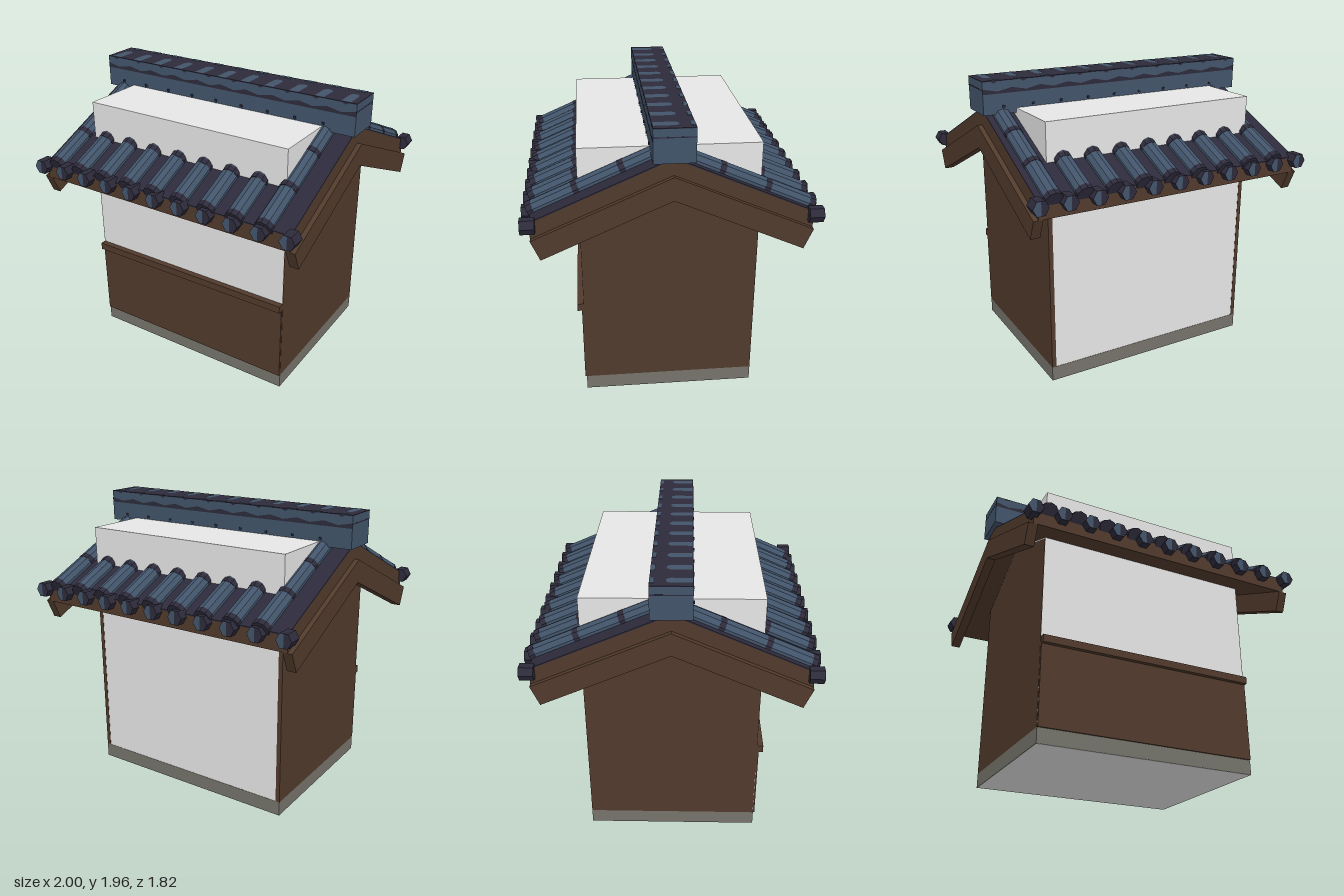
import * as THREE from 'three';

const mat = (name, color) => {
  const m = new THREE.MeshStandardMaterial({ color });
  m.name = name;
  return m;
};

export function createModel() {
  const model = new THREE.Group();
  const plaster = mat('pale plaster', 0xe6e6e6);
  const stone = mat('grey stone', 0x75736a);
  const wood = mat('dark wood', 0x513a2c);
  const slate = mat('blue slate', 0x42546a);
  const shade = mat('dark slate', 0x2d2b3b);

  const add = (parent, name, geo, material, x = 0, y = 0, z = 0) => {
    const mesh = new THREE.Mesh(geo, material);
    mesh.name = name;
    mesh.position.set(x, y, z);
    parent.add(mesh);
    return mesh;
  };
  const box = (parent, name, material, x0, x1, y0, y1, z0, z1) =>
    add(parent, name, new THREE.BoxGeometry(x1 - x0, y1 - y0, z1 - z0), material,
      (x0 + x1) / 2, (y0 + y1) / 2, (z0 + z1) / 2);
  // Flat outline of [x, y] points facing +z
  const plate = points => new THREE.ShapeGeometry(new THREE.Shape(points.map(p => new THREE.Vector2(...p))));
  // Extrude a [z, y] outline along x, from x0 to x1
  const slab = (parent, name, material, outline, x0, x1) => {
    const shape = new THREE.Shape(outline.map(([z, y]) => new THREE.Vector2(-z, y)));
    const geo = new THREE.ExtrudeGeometry(shape, { depth: x1 - x0, bevelEnabled: false });
    return add(parent, name, geo.rotateY(Math.PI / 2), material, x0);
  };

  // Solid core on a stone footing
  box(model, 'core', plaster, -0.755, 0.755, 0, 1.77, -0.565, 0.565);
  box(model, 'footing', stone, -0.757, 0.757, 0.001, 0.1, -0.567, 0.567);

  // Wooden side walls, their thin ends showing at the back corners
  const gable = [[-0.567, 0.1], [0.564, 0.1], [0.564, 1.4], [0, 1.64], [-0.567, 1.4]];
  slab(model, 'leftWall', wood, gable, 0.728, 0.757);
  slab(model, 'rightWall', wood, gable, -0.757, -0.728);

  // Front counter
  box(model, 'counterPanel', wood, -0.755, 0.755, 0.1, 0.635, 0.56, 0.577);
  box(model, 'counterRail', wood, -0.755, 0.755, 0.635, 0.685, 0.56, 0.605);

  // Bargeboards at both gable ends
  const barge = [[0, 1.655], [0.855, 1.28], [0.8, 1.15], [0, 1.505], [-0.8, 1.15], [-0.855, 1.28]];
  slab(model, 'leftBargeboard', wood, barge, 0.915, 0.977);
  slab(model, 'rightBargeboard', wood, barge, -0.977, -0.915);

  // One roof slope, turned round for the back
  const slope = 0.439, angle = Math.atan(slope);
  const deckY = z => 1.765 - slope * z;
  const tube = (parent, name, material, x, z0, z1, r0, r1) => {
    const geo = new THREE.CylinderGeometry(r1, r0, (z1 - z0) / Math.cos(angle), 10).toNonIndexed();
    geo.computeVertexNormals();
    const zm = (z0 + z1) / 2;
    add(parent, name, geo, material, x, deckY(zm), zm).rotation.x = Math.PI / 2 + angle;
  };
  const hexGeo = new THREE.CylinderGeometry(0.052, 0.052, 0.09, 6, 1, false, Math.PI / 2).toNonIndexed();
  hexGeo.computeVertexNormals();
  hexGeo.rotateX(Math.PI / 2);
  const halfHexGeo = plate([[0, 0.045], [-0.026, 0.045], [-0.052, 0], [-0.026, -0.045], [0, -0.045]]);
  const notchGeo = plate([[-0.03, 1.954], [0, 1.938], [0.03, 1.954]]);
  // Dark scalloped band along the ridge
  const wave = [[-0.975, 1.872], [0.975, 1.872]];
  for (let i = 0; i <= 20; i++) wave.push([0.975 - i * 0.0975, i % 2 ? 1.886 : 1.906]);
  const bandGeo = plate(wave);

  const makeSlope = name => {
    const side = new THREE.Group();
    side.name = name;
    slab(side, 'deck', wood, [[0, 1.655], [0.855, 1.28], [0.855, 1.382], [0, 1.757]], -0.945, 0.945);
    slab(side, 'tileBed', shade, [[0, 1.757], [0.855, 1.382], [0.855, 1.39], [0, 1.765]], -0.945, 0.945);
    // Rows of overlapping round tiles with dark joints
    const joints = [0.08, 0.3, 0.58, 0.86];
    for (let i = 0; i < 9; i++) {
      const x = -0.847 + 0.202 * i;
      for (let k = 0; k < 3; k++) {
        const z1 = joints[k + 1];
        tube(side, 'roundTile', slate, x, joints[k], z1, 0.059, 0.06);
        tube(side, 'tileJoint', shade, x, z1 - 0.03, z1 + 0.005, 0.061, 0.061);
      }
    }
    // Hexagonal eave caps, half of each face blue
    for (let i = -5; i <= 5; i++) {
      add(side, 'eaveCap', hexGeo, shade, i * 0.19, 1.37, 0.865);
      add(side, 'eaveCapFace', halfHexGeo, slate, i * 0.19, 1.37, 0.912);
    }
    // Ridge face details: band, edge notches and small pegs
    add(side, 'ridgeBand', bandGeo, shade, 0, 0, 0.128);
    for (let i = 0; i < 10; i++) {
      add(side, 'ridgeNotch', notchGeo, shade, -0.9 + 0.2 * i, 0, 0.128);
      const x = -0.84 + 0.2 * i;
      if (i < 9) box(side, 'ridgePeg', shade, x - 0.008, x + 0.008, 1.782, 1.796, 0.12, 0.134);
    }
    model.add(side);
    return side;
  };
  makeSlope('frontSlope');
  makeSlope('backSlope').rotation.y = Math.PI;

  // Ridge beam with a dark top
  box(model, 'ridge', slate, -0.975, 0.975, 1.74, 1.95, -0.126, 0.126);
  box(model, 'ridgeTop', shade, -0.975, 0.975, 1.95, 1.955, -0.126, 0.126);
  for (const s of [-1, 1]) box(model, 'ridgeEndLine', shade, s * 0.975 - 0.001, s * 0.975 + 0.001, 1.895, 1.902, -0.126, 0.126);

  // Blue patches on the ridge top
  const patch = new THREE.Shape();
  patch.moveTo(-0.032, -0.12);
  patch.lineTo(0.032, -0.12);
  patch.lineTo(0.032, 0);
  patch.absarc(0, 0, 0.032, 0, Math.PI);
  const patchGeo = new THREE.ShapeGeometry(patch, 6).rotateX(-Math.PI / 2);
  for (let i = 0; i < 11; i++) {
    const x = -0.9 + 0.18 * i;
    add(model, 'ridgePatch', patchGeo, slate, x, 1.957, 0);
    box(model, 'ridgeEdgePatch', slate, x - 0.035, x + 0.035, 1.953, 1.957, -0.126, -0.1);
  }
  return model;
}
